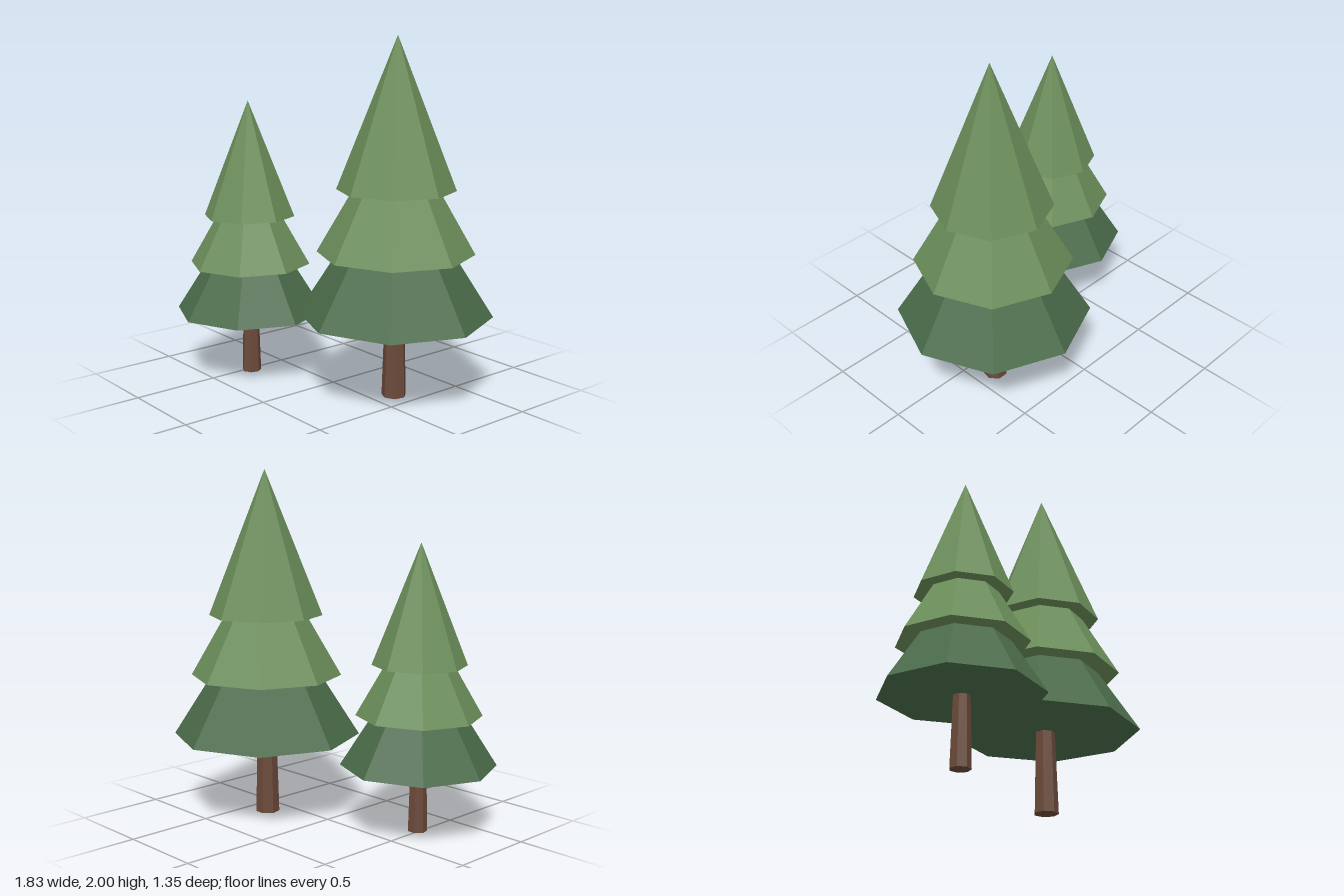
import * as THREE from 'three';

const mat = (name, color) => {
  const m = new THREE.MeshStandardMaterial({ color, flatShading: true });
  m.name = name;
  return m;
};

export function createModel() {
  const bark = mat('bark brown', 0x6b4a3a);
  const darkGreen = mat('dark needle green', 0x4a6b4a);
  const lightGreen = mat('light needle green', 0x6b8e5a);

  // Foliage tiers: base height, apex height, base radius
  const tiers = [
    { name: 'lowerFoliage', y: 0.47, top: 1.32, r: 0.54, material: darkGreen },
    { name: 'middleFoliage', y: 0.82, top: 1.58, r: 0.435, material: lightGreen },
    { name: 'upperFoliage', y: 1.17, top: 2.0, r: 0.327, material: lightGreen },
  ];

  function makeTree(name, x, z, scale) {
    const tree = new THREE.Group();
    tree.name = name;

    // Tapered seven-sided trunk, ending just inside the foliage
    const trunkHeight = 0.53;
    const trunk = new THREE.Mesh(new THREE.CylinderGeometry(0.055, 0.07, trunkHeight, 7), bark);
    trunk.name = 'trunk';
    trunk.position.y = trunkHeight / 2;
    tree.add(trunk);

    // Stacked eight-sided cones
    for (const t of tiers) {
      const h = t.top - t.y;
      const cone = new THREE.Mesh(new THREE.ConeGeometry(t.r, h, 8), t.material);
      cone.name = t.name;
      cone.position.y = t.y + h / 2;
      tree.add(cone);
    }

    tree.position.set(x, 0, z);
    tree.scale.setScalar(scale);
    return tree;
  }

  const model = new THREE.Group();
  model.name = 'pineTrees';
  model.add(makeTree('largePine', 0.373, -0.135, 1));
  model.add(makeTree('smallPine', -0.48, 0.237, 0.807));
  return model;
}
